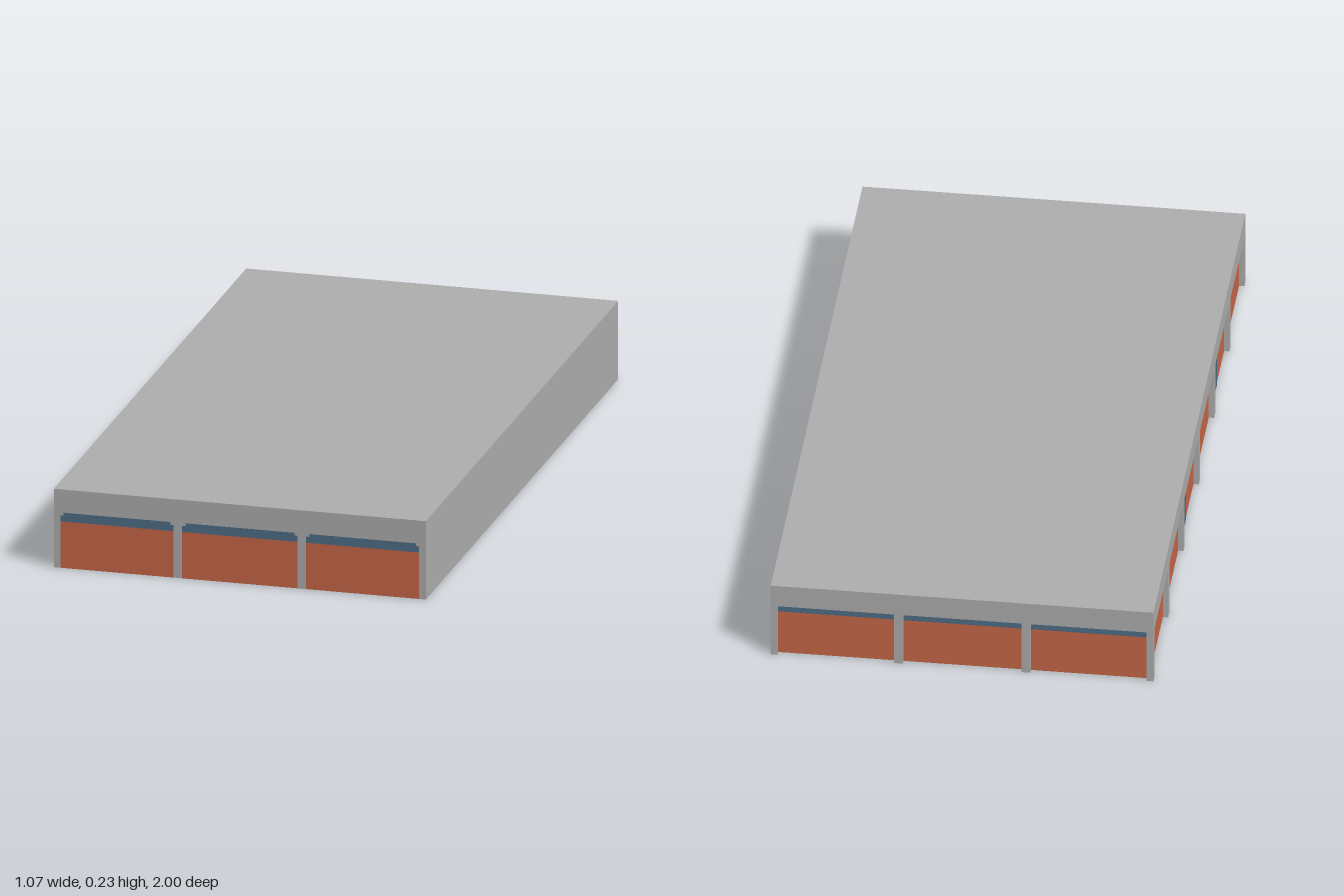
import * as THREE from 'three';

const W = 1.066, L = 2, H = 0.228;            // width, length, height
const BAY_TOP = 0.161, BAND = 0.135;          // top of bays, bottom of window band
const CORNER = 0.019, PILLAR = 0.025;         // post widths

const mat = (name, color) => {
  const m = new THREE.MeshStandardMaterial({ color, side: THREE.DoubleSide });
  m.name = name;
  return m;
};

export function createModel() {
  const concrete = mat('grey concrete', 0xaeaeae);
  const brick = mat('orange brick', 0xc86849);
  const glass = mat('blue glass', 0x4f6e87);
  const model = new THREE.Group();
  model.name = 'warehouse';

  const add = (parent, name, geo, material, x = 0, y = 0, z = 0) => {
    const m = new THREE.Mesh(geo, material);
    m.name = name;
    m.position.set(x, y, z);
    parent.add(m);
    return m;
  };
  const sheet = pts => new THREE.ShapeGeometry(
    new THREE.Shape(pts.map(([x, y]) => new THREE.Vector2(x, y))));

  // Wall with evenly spaced bays, facing local +z; bays are set back by depth
  function bayWall(name, length, bays, depth, step, doors = []) {
    const wall = new THREE.Group();
    wall.name = name;
    const half = length / 2, pitch = length / bays;
    const frame = [[-half, 0]];
    for (let i = 0; i < bays; i++) {
      const x0 = -half + i * pitch + (i === 0 ? CORNER : PILLAR / 2);
      const x1 = -half + (i + 1) * pitch - (i === bays - 1 ? CORNER : PILLAR / 2);
      const w = x1 - x0, cx = (x0 + x1) / 2;
      // Window outline with small stepped upper corners
      const head = step
        ? [[x0, 0.153], [x0 + step, 0.153], [x0 + step, BAY_TOP],
          [x1 - step, BAY_TOP], [x1 - step, 0.153], [x1, 0.153]]
        : [[x0, BAY_TOP], [x1, BAY_TOP]];
      frame.push([x0, 0], ...head, [x1, 0]);

      add(wall, 'brickPanel', new THREE.PlaneGeometry(w, BAND), brick, cx, BAND / 2, -depth);
      add(wall, 'windowBand', sheet([[x0, BAND], ...head, [x1, BAND]]), glass, 0, 0, -depth);

      // Returns at the sides and head of a recessed bay
      if (depth) {
        for (const x of [x0, x1])
          add(wall, 'pillarSide', new THREE.PlaneGeometry(depth, BAY_TOP), concrete,
            x, BAY_TOP / 2, -depth / 2).rotation.y = x === x0 ? Math.PI / 2 : -Math.PI / 2;
        add(wall, 'bayHead', new THREE.PlaneGeometry(w, depth), concrete,
          cx, BAY_TOP, -depth / 2).rotation.x = Math.PI / 2;
      }
    }
    frame.push([half, 0], [half, H], [-half, H]);
    add(wall, 'pillarsAndFascia', sheet(frame), concrete);

    // Doors with clipped upper corners, visible from both sides
    const door = new THREE.Shape([[-0.043, 0], [0.043, 0], [0.043, 0.097], [0.03, 0.11],
      [-0.03, 0.11], [-0.043, 0.097]].map(([x, y]) => new THREE.Vector2(x, y)));
    for (const x of doors)
      add(wall, 'door', new THREE.ExtrudeGeometry(door, { depth: 0.004, bevelEnabled: false }),
        glass, x, 0, -depth - 0.002);
    model.add(wall);
    return wall;
  }

  bayWall('frontWall', W, 3, 0, 0.009).position.z = L / 2;

  const back = bayWall('backWall', W, 3, 0.014, 0);
  back.position.z = -L / 2;
  back.rotation.y = Math.PI;

  const side = bayWall('rightWall', L, 6, 0.015, 0, [-0.23, 0.44]);
  side.position.x = -W / 2;
  side.rotation.y = -Math.PI / 2;

  // Blank long wall and flat roof, open underneath
  add(model, 'leftWall', new THREE.PlaneGeometry(L, H), concrete, W / 2, H / 2, 0)
    .rotation.y = Math.PI / 2;
  add(model, 'roof', new THREE.PlaneGeometry(W, L), concrete, 0, H, 0)
    .rotation.x = -Math.PI / 2;

  return model;
}
